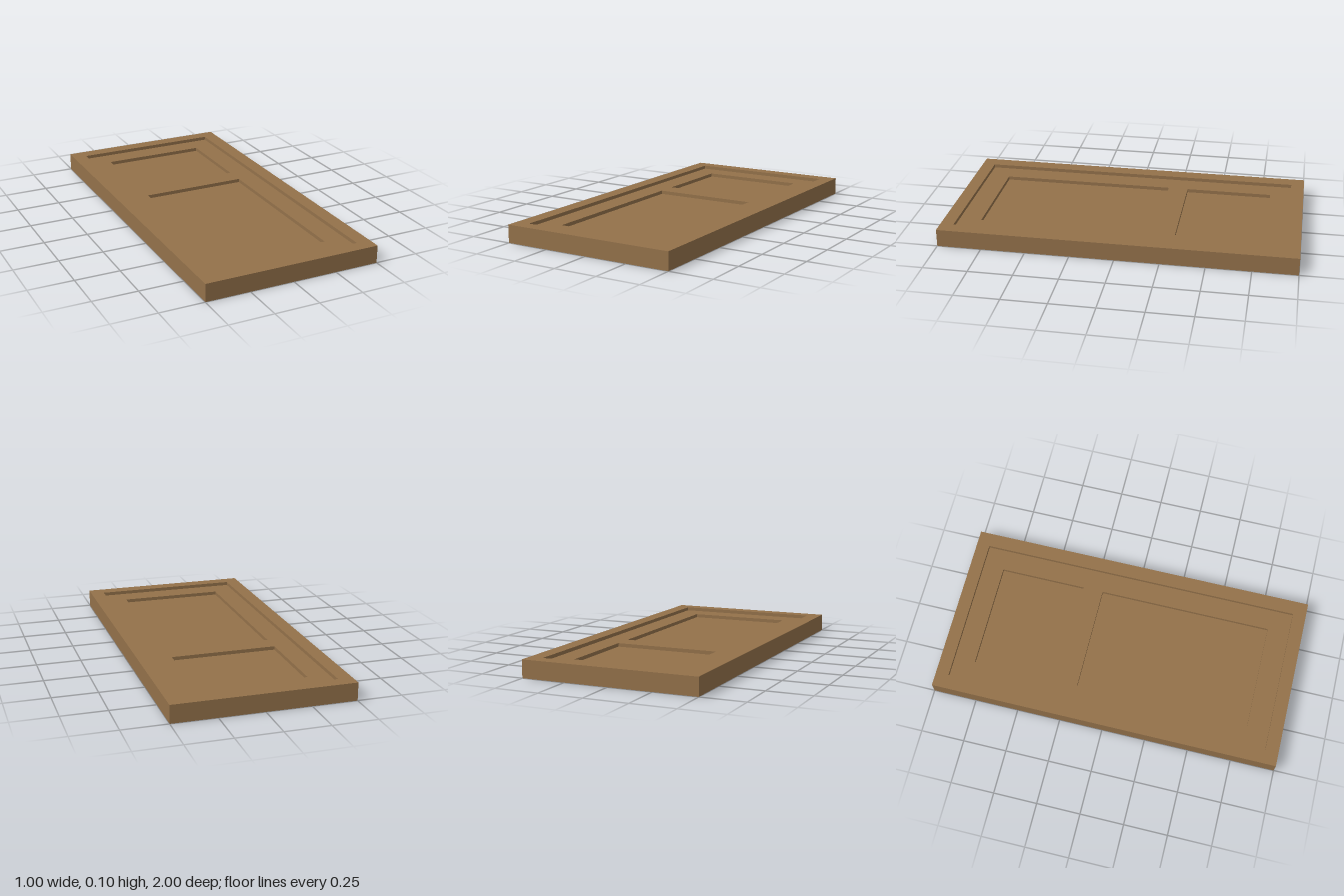
import * as THREE from 'three';

// Adds a rectangle, given by its x half-width and z range, to a path lying in the ground plane
function rect(path, halfW, z0, z1) {
  path.moveTo(-halfW, -z1);
  path.lineTo(halfW, -z1);
  path.lineTo(halfW, -z0);
  path.lineTo(-halfW, -z0);
  path.closePath();
  return path;
}

// A flat slab with rectangular openings, centred in the door's thickness
function slab(name, material, thickness, outline, openings = []) {
  const shape = rect(new THREE.Shape(), ...outline);
  shape.holes = openings.map((o) => rect(new THREE.Path(), ...o));
  const geometry = new THREE.ExtrudeGeometry(shape, { depth: thickness, bevelEnabled: false });
  geometry.rotateX(-Math.PI / 2);
  geometry.translate(0, 0.05 - thickness / 2, 0);
  const mesh = new THREE.Mesh(geometry, material);
  mesh.name = name;
  return mesh;
}

export function createModel() {
  const wood = new THREE.MeshStandardMaterial({ color: 0x93714a });
  wood.name = 'brown wood';

  const outer = [0.5, -1, 1];
  const inner = [0.42, -0.925, 0.925];
  const upper = [0.3, -0.805, -0.31];
  const lower = [0.3, -0.195, 0.8];

  const door = new THREE.Group();
  door.name = 'panelledDoor';
  door.add(
    // Each layer steps in by 0.02 on both faces
    slab('outerFrame', wood, 0.1, outer, [inner]),
    slab('innerFrame', wood, 0.06, inner, [upper, lower]),
    slab('upperPanel', wood, 0.02, upper),
    slab('lowerPanel', wood, 0.02, lower),
  );
  return door;
}
